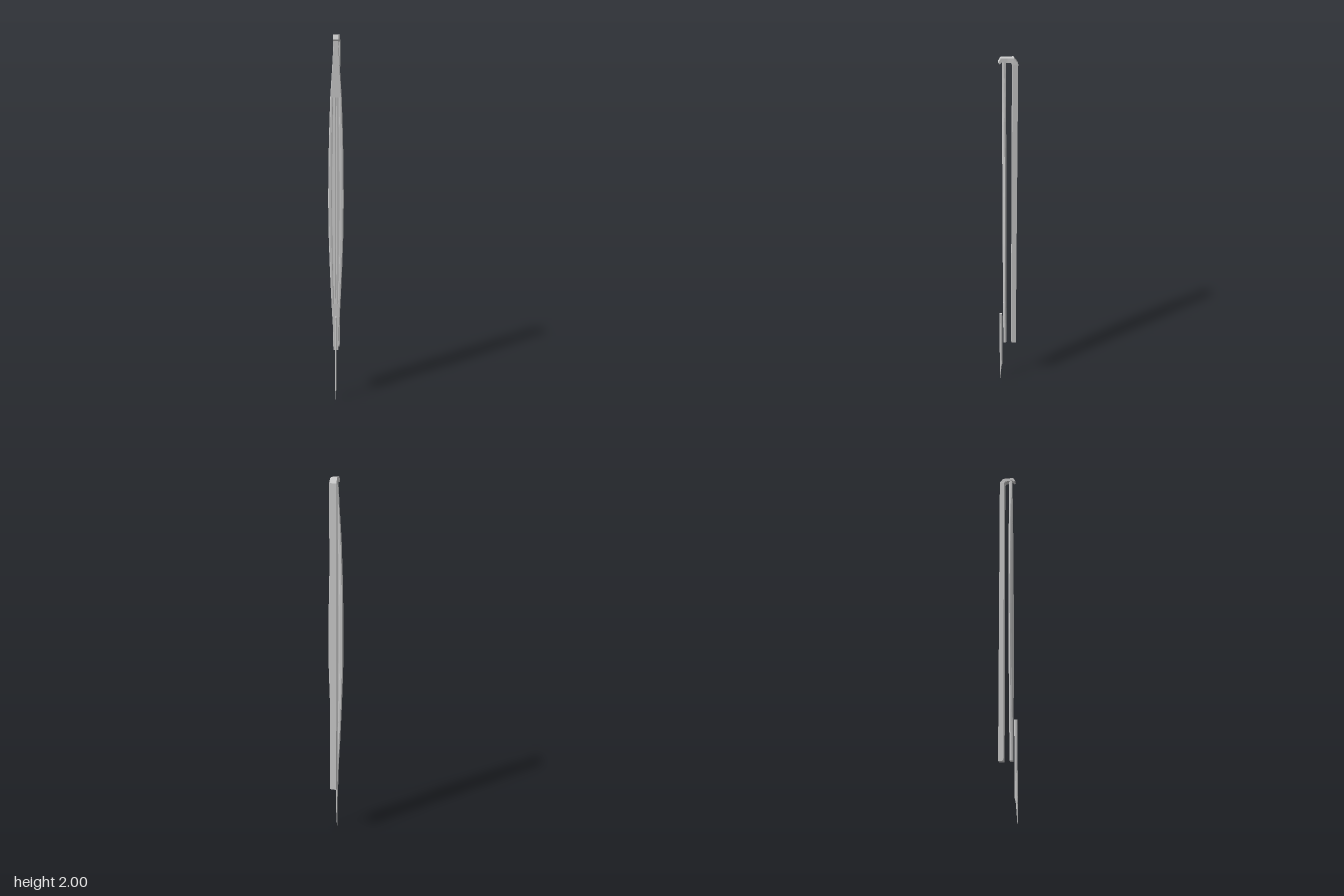
import * as THREE from 'three';

const material = new THREE.MeshStandardMaterial({ color: 0xcccccc, flatShading: true });

// Skins a list of equal-length rings (counter-clockwise around the sweep direction) and caps both ends.
function loft(name, rings) {
  const pos = [];
  const tri = (...pts) => pts.forEach((p) => pos.push(...p));
  const n = rings[0].length;
  for (let r = 0; r + 1 < rings.length; r++) {
    for (let i = 0; i < n; i++) {
      const j = (i + 1) % n, a = rings[r], b = rings[r + 1];
      tri(a[i], a[j], b[j]);
      tri(a[i], b[j], b[i]);
    }
  }
  const centre = (ring) => [0, 1, 2].map((k) => ring.reduce((s, p) => s + p[k], 0) / n);
  const first = rings[0], last = rings[rings.length - 1];
  for (let i = 0; i < n; i++) {
    const j = (i + 1) % n;
    tri(centre(first), first[j], first[i]);
    tri(centre(last), last[i], last[j]);
  }
  const geometry = new THREE.BufferGeometry();
  geometry.setAttribute('position', new THREE.Float32BufferAttribute(pos, 3));
  geometry.computeVertexNormals();
  const mesh = new THREE.Mesh(geometry, material);
  mesh.name = name;
  return mesh;
}

// Flat leaf-shaped body with bevelled edges and shallow grooves on both faces
function makeBody() {
  const zMid = 0.0155, halfDepth = 0.008;
  const grooves = [0.6, 0.5, 0.42, 0.14, 0.06, -0.06, -0.14, -0.42, -0.5, -0.6];
  const sunk = [0, 1, 1, 1, 1, 1, 1, 1, 1, 0].map((v, i) => ([1, 2, 4, 5, 7, 8].includes(i) ? v : 0));
  const ring = (y, w, depth) => {
    const half = [[1, 0], [0.88, 1], ...grooves.map((u, i) => [u, 1 - depth * sunk[i]]), [-0.88, 1]];
    const back = half.map(([u, d]) => [u * w, y, zMid - d * halfDepth]);
    const front = half.map(([u, d]) => [-u * w, y, zMid + d * halfDepth]);
    return [...back, ...front];
  };
  const profile = [
    [0.3, 0.014, 0], [0.45, 0.018, 0], [0.58, 0.025, 0], [0.581, 0.025, 0.2],
    [0.8, 0.034, 0.2], [1.0, 0.04, 0.2], [1.15, 0.041, 0.2], [1.3, 0.04, 0.2],
    [1.5, 0.036, 0.2], [1.699, 0.029, 0.2], [1.7, 0.029, 0], [1.85, 0.019, 0], [1.985, 0.011, 0],
  ];
  return loft('body', profile.map((p) => ring(...p)));
}

// Straight back bar that bends over the top into a narrowing hook
function makeBackBar() {
  // outer z, outer y, inner z, inner y, half width
  const path = [
    [-0.048, 0.3, -0.022, 0.3, 0.018],
    [-0.048, 1.975, -0.022, 1.968, 0.018],
    [-0.029, 2, -0.014, 1.98, 0.0165],
    [0, 2, 0, 1.98, 0.0145],
    [0.031, 2, 0.026, 1.983, 0.0135],
    [0.043, 1.98, 0.036, 1.973, 0.0135],
  ];
  return loft('backBarWithHook', path.map(([oz, oy, iz, iy, w]) =>
    [[w, iy, iz], [w, oy, oz], [-w, oy, oz], [-w, iy, iz]]));
}

// Slim front pin that steps in and tapers to a point
function makePin() {
  // y, half width, back z, front z
  const path = [
    [0, 0.001, 0.043, 0.045],
    [0.06, 0.003, 0.039, 0.046],
    [0.1, 0.004, 0.036, 0.046],
    [0.12, 0.004, 0.031, 0.046],
    [0.51, 0.005, 0.03, 0.046],
  ];
  return loft('pin', path.map(([y, w, b, f]) => {
    const c = (f - b) * 0.25;
    return [[w, y, f - c], [w, y, b + c], [w * 0.5, y, b], [-w * 0.5, y, b],
      [-w, y, b + c], [-w, y, f - c], [-w * 0.5, y, f], [w * 0.5, y, f]];
  }));
}

export function createModel() {
  const group = new THREE.Group();
  group.name = 'model';
  group.add(makeBody(), makeBackBar(), makePin());
  return group;
}
